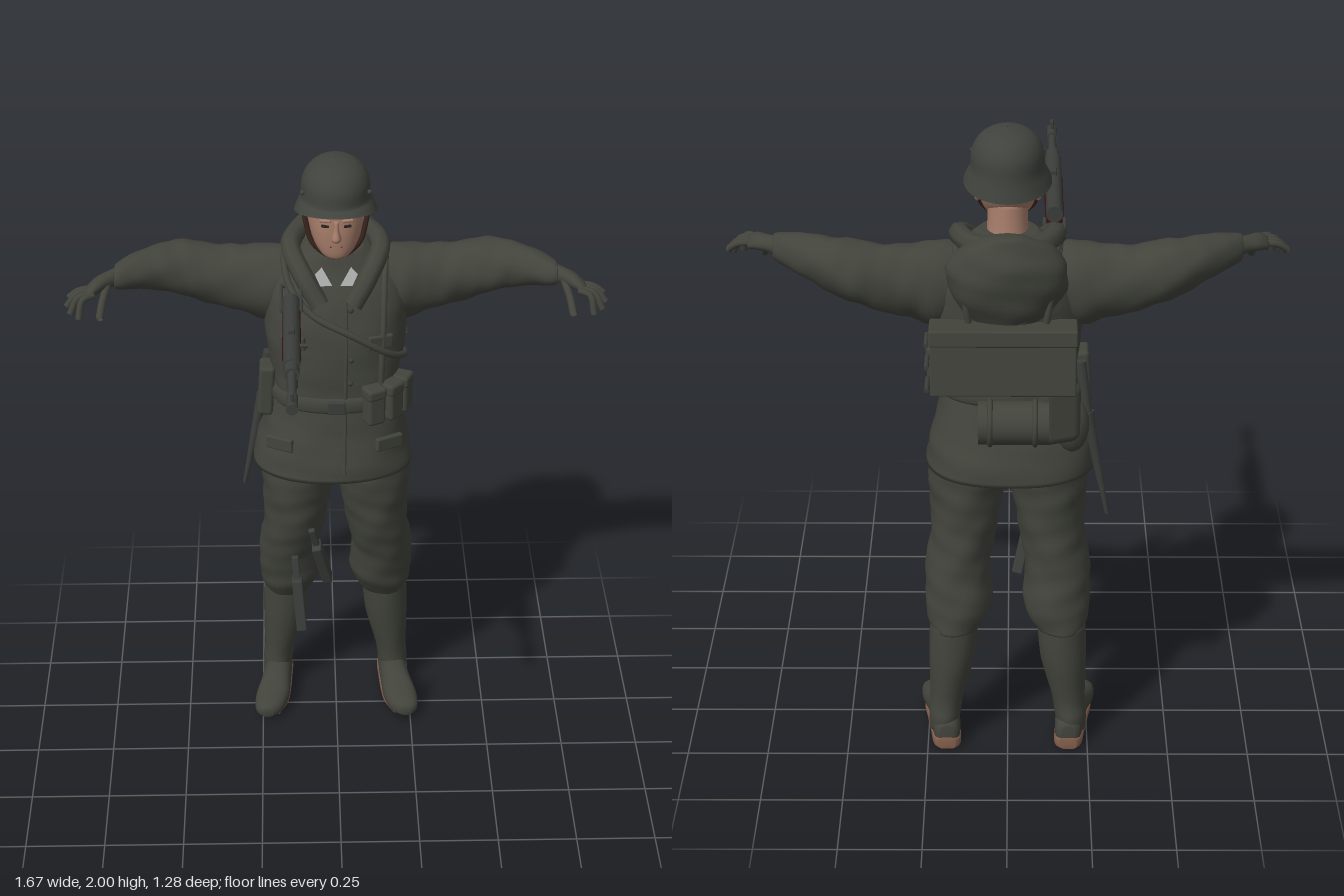
import * as THREE from 'three';
import { RoundedBoxGeometry } from 'three/addons/geometries/RoundedBoxGeometry.js';

const V = (x, y, z) => new THREE.Vector3(x, y, z);
const paint = (name, color, side = THREE.FrontSide) => {
  const m = new THREE.MeshStandardMaterial({ color, side });
  m.name = name;
  return m;
};
const spow = (v, e) => Math.sign(v) * Math.abs(v) ** (2 / e);

// Smooth skin through elliptical rings [x, y, z, ra, rb] stacked along one axis (increasing)
function loft(rings, axis, { seg = 28, sub = 4, e = 2, amp = 0, cap = true, bend } = {}) {
  const pos = [], idx = [], n = rings.length;
  const get = i => rings[Math.min(n - 1, Math.max(0, i))];
  const fine = [];
  for (let i = 0; i < n - 1; i++) for (let k = 0; k < sub + (i === n - 2 ? 1 : 0); k++) {
    const t = k / sub, [a, b, c, d] = [get(i - 1), get(i), get(i + 1), get(i + 2)];
    fine.push(b.map((_, j) => 0.5 * (2 * b[j] + (c[j] - a[j]) * t + (2 * a[j] - 5 * b[j] + 4 * c[j] - d[j]) * t * t
      + (3 * b[j] - a[j] - 3 * c[j] + d[j]) * t ** 3)));
  }
  const along = { x: 0, y: 1, z: 2 }[axis];
  fine.forEach(r => {
    const s = r[along];
    for (let i = 0; i < seg; i++) {
      const t = i / seg * Math.PI * 2;
      const f = 1 + amp * (Math.sin(3 * t + 44 * s) + Math.sin(5 * t - 31 * s) + Math.sin(2 * t + 83 * s)) / 2;
      const c = spow(Math.cos(t), e) * f, q = spow(Math.sin(t), e) * f;
      const p = axis === 'y' ? V(r[0] + r[3] * q, r[1], r[2] + r[4] * c)
        : axis === 'x' ? V(r[0], r[1] + r[3] * c, r[2] + r[4] * q)
          : V(r[0] + r[3] * c, r[1] + r[4] * q, r[2]);
      if (bend) bend(p, t);
      pos.push(p.x, p.y, p.z);
    }
  });
  const rows = fine.length;
  for (let j = 0; j < rows - 1; j++) for (let i = 0; i < seg; i++) {
    const a = j * seg + i, b = j * seg + (i + 1) % seg;
    idx.push(a, b, b + seg, a, b + seg, a + seg);
  }
  if (cap) [0, rows - 1].forEach((j, top) => {
    const c = pos.length / 3;
    pos.push(...fine[j].slice(0, 3));
    for (let i = 0; i < seg; i++) {
      const a = j * seg + i, b = j * seg + (i + 1) % seg;
      idx.push(...(top ? [c, a, b] : [c, b, a]));
    }
  });
  const g = new THREE.BufferGeometry();
  g.setAttribute('position', new THREE.Float32BufferAttribute(pos, 3));
  g.setIndex(idx);
  g.computeVertexNormals();
  return g;
}

// Mirror a geometry across x and keep its faces outward
function flip(geo) {
  const g = geo.clone().scale(-1, 1, 1), ix = g.index.array;
  for (let i = 0; i < ix.length; i += 3) [ix[i], ix[i + 1]] = [ix[i + 1], ix[i]];
  return g;
}
const tube = (pts, r, closed = false, n = 40) =>
  new THREE.TubeGeometry(new THREE.CatmullRomCurve3(pts, closed), n, r, 8, closed);
function rod(a, b, r1, r2 = r1, seg = 14) {
  const d = b.clone().sub(a), g = new THREE.CylinderGeometry(r2, r1, d.length(), seg);
  g.applyQuaternion(new THREE.Quaternion().setFromUnitVectors(V(0, 1, 0), d.normalize()));
  return g.translate((a.x + b.x) / 2, (a.y + b.y) / 2, (a.z + b.z) / 2);
}
const rbox = (w, h, d, r = 0.012) => new RoundedBoxGeometry(w, h, d, 2, r);

// Jacket rings, also used to lay belts and pouches on the body
const JACKET = [
  [-0.01, 0.955, -0.325, 0.256, 0.208], [-0.01, 1.02, -0.325, 0.246, 0.2], [-0.005, 1.1, -0.32, 0.222, 0.18],
  [0, 1.2, -0.312, 0.198, 0.158], [0, 1.26, -0.315, 0.2, 0.16], [0, 1.35, -0.328, 0.215, 0.172],
  [0, 1.45, -0.342, 0.225, 0.18], [0, 1.55, -0.357, 0.218, 0.168], [0, 1.62, -0.365, 0.185, 0.14],
  [0, 1.67, -0.355, 0.13, 0.11], [0, 1.7, -0.34, 0.085, 0.085]];
function onBody(y, t, off = 0) {
  let i = 0;
  while (i < JACKET.length - 2 && JACKET[i + 1][1] < y) i++;
  const a = JACKET[i], b = JACKET[i + 1], k = (y - a[1]) / (b[1] - a[1]);
  const [x, , z, rx, rz] = a.map((v, j) => v + (b[j] - v) * k);
  return V(x + (rx + off) * spow(Math.sin(t), 2.3), y, z + (rz + off) * spow(Math.cos(t), 2.3));
}

export function createModel() {
  const root = new THREE.Group();
  root.name = 'soldier';
  const cloth = paint('fieldGrey', 0x42443c, THREE.DoubleSide), steel = paint('helmetSteel', 0x40433d, THREE.DoubleSide);
  const skin = paint('skin', 0xa57c69), white = paint('collarWhite', 0xc4c6c6, THREE.DoubleSide);
  const leather = paint('darkBrownStrap', 0x35201a), metal = paint('gunMetal', 0x3b3e3a);
  const grip = paint('darkRedGrip', 0x421114), sole = paint('soleBrown', 0x86604d), dark = paint('eyeDark', 0x2a211d);
  const put = (name, geo, mat, pos, rot, parent = root) => {
    const m = new THREE.Mesh(geo, mat);
    m.name = name;
    if (pos) m.position.set(...pos);
    if (rot) m.rotation.set(...rot);
    parent.add(m);
    return m;
  };
  const pair = (name, geo, mat) => { put(name + 'Left', geo, mat); put(name + 'Right', flip(geo), mat); };

  // Jacket, sleeves and hood
  put('jacket', loft(JACKET, 'y', { seg: 48, e: 2.3, amp: 0.012 }), cloth);
  pair('sleeve', loft([[0.1, 1.57, -0.365, 0.09, 0.09], [0.2, 1.55, -0.375, 0.126, 0.1], [0.28, 1.558, -0.382, 0.112, 0.088],
    [0.36, 1.568, -0.387, 0.1, 0.086], [0.44, 1.588, -0.388, 0.094, 0.088], [0.5, 1.602, -0.377, 0.084, 0.085],
    [0.56, 1.615, -0.355, 0.07, 0.078], [0.62, 1.62, -0.32, 0.056, 0.066], [0.665, 1.62, -0.288, 0.045, 0.055],
    [0.685, 1.62, -0.275, 0.036, 0.044]], 'x', { amp: 0.03, sub: 5 }), cloth);
  put('hood', loft([[0, 1.46, -0.46, 0.09, 0.07], [0, 1.53, -0.46, 0.155, 0.105], [0, 1.6, -0.465, 0.175, 0.12],
    [0, 1.66, -0.47, 0.165, 0.12], [0, 1.71, -0.49, 0.12, 0.085], [0, 1.752, -0.53, 0.04, 0.03]], 'y', { amp: 0.03 }), cloth);
  put('hoodRoll', tube([V(0.05, 1.55, -0.2), V(0.1, 1.63, -0.24), V(0.14, 1.69, -0.34), V(0.1, 1.7, -0.45), V(0, 1.7, -0.5),
    V(-0.1, 1.7, -0.45), V(-0.14, 1.69, -0.34), V(-0.1, 1.63, -0.24), V(-0.05, 1.55, -0.2)], 0.032), cloth);
  put('collar', loft([[0, 1.64, -0.33, 0.1, 0.095], [0, 1.7, -0.335, 0.082, 0.085]], 'y',
    { cap: false, bend: (p, t) => { p.y -= 0.045 * Math.max(0, Math.cos(t)); } }), cloth);
  [-1, 1].forEach(s => {
    const tab = new THREE.Shape([[0.012, 1.615], [0.05, 1.615], [0.066, 1.655], [0.045, 1.68]].map(([x, y]) => new THREE.Vector2(s * x, y)));
    put('collarTab', new THREE.ShapeGeometry(tab), white, [0, 0, -0.206]);
  });
  put('buttonPlacket', tube([0.99, 1.1, 1.2, 1.3, 1.4, 1.5, 1.57].map(y => onBody(y, 0.1, 0.001)), 0.006), cloth);
  [1.3, 1.38, 1.46, 1.54].forEach(y => put('button', new THREE.SphereGeometry(0.009, 8, 6), metal, onBody(y, 0.16, 0.002).toArray()));
  [[1.07, 0.8, 0.1], [1.43, 0.6, 0.085]].forEach(([y, t, w]) => [-1, 1].forEach(s =>
    put('pocketFlap', rbox(w, 0.045, 0.02, 0.006), cloth, onBody(y, s * t).toArray(), [0, s * t * 0.75, -s * 0.08])));

  // Head with face and neck
  put('neck', loft([[0, 1.58, -0.335, 0.075, 0.08], [0, 1.7, -0.325, 0.06, 0.065], [0, 1.79, -0.31, 0.06, 0.07]], 'y'), skin);
  put('head', loft([[0, 1.704, -0.238, 0.022, 0.028], [0, 1.715, -0.245, 0.044, 0.046], [0, 1.745, -0.268, 0.067, 0.074],
    [0, 1.79, -0.288, 0.082, 0.096], [0, 1.84, -0.297, 0.088, 0.102], [0, 1.92, -0.3, 0.088, 0.1]], 'y',
    { e: 2.2, seg: 32 }), skin);
  put('nose', loft([[0, 1.772, -0.2, 0.014, 0.02], [0, 1.783, -0.196, 0.016, 0.027], [0, 1.81, -0.196, 0.009, 0.016],
    [0, 1.838, -0.198, 0.009, 0.01]], 'y', { seg: 12 }), skin);
  put('mouth', rbox(0.04, 0.007, 0.009, 0.003), leather, [0, 1.753, -0.199]);
  [-1, 1].forEach(s => {
    put('eye', rbox(0.024, 0.009, 0.008, 0.003), dark, [s * 0.034, 1.82, -0.201], [0, s * 0.25, 0]);
    put('brow', rbox(0.036, 0.009, 0.012, 0.004), skin, [s * 0.034, 1.839, -0.198], [0, s * 0.25, 0]);
    put('ear', new THREE.SphereGeometry(1, 12, 8).scale(0.012, 0.032, 0.02), skin, [s * 0.088, 1.81, -0.31]);
  });

  // Helmet with a brim raised at the front and low at the neck
  put('helmet', loft([[0, 1.835, -0.297, 0.128, 0.155], [0, 1.86, -0.3, 0.118, 0.145], [0, 1.885, -0.304, 0.108, 0.136],
    [0, 1.93, -0.305, 0.104, 0.131], [0, 1.965, -0.306, 0.087, 0.11], [0, 1.988, -0.307, 0.057, 0.074], [0, 1.998, -0.307, 0.02, 0.026],
    [0, 2, -0.307, 0.002, 0.002]], 'y', {
    seg: 40, cap: false,
    bend: (p, t) => { if (p.y < 1.885) p.y += (1.885 - p.y) / 0.05 * (Math.cos(t) > 0 ? 0.035 : 0.016) * Math.cos(t); }
  }), steel);
  [-1, 1].forEach(s => put('helmetRivet', new THREE.SphereGeometry(0.008, 8, 6), steel, [s * 0.102, 1.91, -0.25]));
  put('chinStrap', tube([V(0.1, 1.85, -0.3), V(0.092, 1.8, -0.275), V(0.07, 1.74, -0.25), V(0, 1.7, -0.235),
    V(-0.07, 1.74, -0.25), V(-0.092, 1.8, -0.275), V(-0.1, 1.85, -0.3)], 0.008), leather);

  // Gloved hands
  pair('palm', loft([[0.665, 1.62, -0.287, 0.032, 0.036], [0.7, 1.622, -0.258, 0.025, 0.036], [0.74, 1.616, -0.222, 0.022, 0.046],
    [0.768, 1.604, -0.198, 0.015, 0.042]], 'x', { seg: 16 }), cloth);
  [[-0.222, 0.825, 1.585, -0.205], [-0.202, 0.83, 1.568, -0.178], [-0.182, 0.818, 1.556, -0.15], [-0.168, 0.79, 1.55, -0.125]]
    .forEach(([z, x, y, tz]) => pair('finger', tube([V(0.745, 1.61, z), V((0.765 + x) / 2, 1.604, (z + tz) / 2), V(x, y, tz)], 0.0105, false, 8), cloth));
  pair('thumb', tube([V(0.705, 1.615, -0.235), V(0.72, 1.58, -0.18), V(0.728, 1.545, -0.135)], 0.012, false, 8), cloth);

  // Trousers, boots and soles
  pair('trouserLeg', loft([[0.163, 0.41, -0.387, 0.076, 0.088], [0.156, 0.45, -0.375, 0.094, 0.1], [0.15, 0.5, -0.365, 0.103, 0.108],
    [0.153, 0.6, -0.345, 0.1, 0.115], [0.138, 0.7, -0.325, 0.1, 0.13], [0.128, 0.8, -0.315, 0.108, 0.138],
    [0.122, 0.9, -0.31, 0.12, 0.148], [0.118, 0.99, -0.31, 0.12, 0.15]], 'y', { amp: 0.025, sub: 6 }), cloth);
  pair('bootShaft', loft([[0.2, 0.05, -0.4, 0.045, 0.065], [0.197, 0.1, -0.4, 0.05, 0.07], [0.19, 0.16, -0.395, 0.052, 0.067],
    [0.173, 0.3, -0.392, 0.071, 0.083], [0.165, 0.43, -0.387, 0.075, 0.087]], 'y', { amp: 0.008 }), cloth);
  pair('bootFoot', loft([[0.19, 0.05, -0.474, 0.022, 0.034], [0.19, 0.053, -0.455, 0.04, 0.048], [0.195, 0.06, -0.39, 0.045, 0.056],
    [0.205, 0.056, -0.3, 0.05, 0.053], [0.218, 0.043, -0.23, 0.056, 0.04], [0.23, 0.036, -0.17, 0.045, 0.03],
    [0.235, 0.032, -0.146, 0.018, 0.016]], 'z', { e: 2.3 }), cloth);
  pair('bootSole', loft([[0.19, 0.022, -0.476, 0.026, 0.02], [0.19, 0.022, -0.455, 0.043, 0.022], [0.196, 0.022, -0.39, 0.047, 0.022],
    [0.206, 0.018, -0.3, 0.051, 0.018], [0.216, 0.01, -0.24, 0.05, 0.01], [0.23, 0.008, -0.18, 0.036, 0.007]], 'z', { e: 4 }), sole);

  // Belt, straps and pouches
  put('belt', loft([1.195, 1.205, 1.235, 1.245].map((y, i) => {
    const o = i % 3 ? 0.012 : 0.004;
    return [0, y, -0.313, 0.2 + o, 0.16 + o];
  }), 'y', { seg: 48, e: 2.3, sub: 1 }), cloth);
  put('buckle', rbox(0.055, 0.045, 0.012, 0.005), metal, onBody(1.22, 0, 0.015).toArray());
  [0.5, 0.86, 1.22].forEach(t => {
    const p = onBody(1.225, t, 0.022);
    put('ammoPouch', rbox(0.062, 0.125, 0.055), cloth, p.toArray(), [0, t * 0.95, 0]);
    put('pouchFlap', rbox(0.066, 0.04, 0.061), cloth, [p.x, 1.27, p.z], [0, t * 0.95, 0]);
  });
  put('sidePouch', rbox(0.05, 0.17, 0.085), cloth, [-0.222, 1.22, -0.29], [0, 0, -0.06]);
  put('bayonetHandle', rod(V(-0.235, 1.14, -0.39), V(-0.215, 1.3, -0.38), 0.016), metal);
  put('bayonetSheath', rod(V(-0.3, 0.8, -0.395), V(-0.235, 1.14, -0.39), 0.006, 0.02), metal);
  put('crossStrap', tube([[1.6, -0.75], [1.53, -0.3], [1.46, 0.2], [1.38, 0.8], [1.33, 1.5], [1.32, 2.3], [1.42, 2.9], [1.55, 3.6]]
    .map(([y, t]) => onBody(y, t, 0.008)).concat([V(-0.14, 1.67, -0.42), V(-0.16, 1.665, -0.32)]), 0.011, true, 70), cloth);
  [-1, 1].forEach(s => put('shoulderStrap', tube([[1.24, 0.7], [1.36, 0.65], [1.48, 0.65], [1.58, 0.75]]
    .map(([y, t]) => onBody(y, s * t, 0.004)).concat([V(s * 0.155, 1.67, -0.34), V(s * 0.13, 1.6, -0.51), V(s * 0.1, 1.4, -0.515)]), 0.01), cloth));

  // Back load: case, frame rungs, blanket roll, bag and canteen
  put('backCase', rbox(0.42, 0.2, 0.105, 0.006), cloth, [0.012, 1.385, -0.545], [0.06, 0, 0]);
  put('caseLid', rbox(0.426, 0.05, 0.111, 0.006), cloth, [0.012, 1.462, -0.542], [0.06, 0, 0]);
  [1.3, 1.37, 1.44].forEach(y => put('caseRung', rod(V(0.232, y, -0.585), V(0.232, y, -0.5), 0.007), metal));
  put('blanketRoll', rod(V(-0.12, 1.19, -0.568), V(0.085, 1.19, -0.568), 0.064, 0.064, 24), cloth);
  [-0.08, 0.05].forEach(x => put('rollStrap', new THREE.TorusGeometry(0.064, 0.008, 8, 24), cloth, [x, 1.19, -0.568], [0, Math.PI / 2, 0]));
  put('breadBag', rbox(0.13, 0.19, 0.09, 0.03), cloth, [-0.145, 1.2, -0.51], [0, 0.35, 0]);
  put('canteen', new THREE.SphereGeometry(1, 16, 12).scale(0.05, 0.085, 0.045), cloth, [-0.19, 1.14, -0.48]);

  // Submachine gun pointing forward
  const gun = new THREE.Group();
  gun.name = 'gun';
  gun.position.x = -0.14;
  root.add(gun);
  const gp = (name, geo, mat, pos, rot) => put(name, geo, mat, pos, rot, gun);
  gp('barrel', rod(V(0, 1.652, 0.4), V(0, 1.658, 0.63), 0.014, 0.011), metal);
  gp('muzzle', rod(V(0, 1.657, 0.565), V(0, 1.658, 0.642), 0.017), metal);
  gp('frontSight', rbox(0.012, 0.04, 0.025, 0.004), metal, [0, 1.68, 0.612]);
  gp('barrelNut', rod(V(0, 1.651, 0.36), V(0, 1.652, 0.43), 0.022), metal);
  gp('receiver', rod(V(0, 1.638, -0.065), V(0, 1.651, 0.38), 0.026), metal);
  gp('rearSight', rbox(0.02, 0.028, 0.035, 0.004), metal, [0, 1.672, 0.2]);
  gp('magazineHousing', rbox(0.034, 0.085, 0.055, 0.006), metal, [0, 1.607, 0.33]);
  gp('boltHandle', rod(V(0.015, 1.65, 0.25), V(0.048, 1.652, 0.25), 0.007), metal);
  gp('handguard', rbox(0.056, 0.052, 0.29, 0.014), grip, [0, 1.617, 0.125], [-0.03, 0, 0]);
  gp('gripFrame', rbox(0.042, 0.045, 0.1, 0.01), grip, [0, 1.605, -0.01]);
  gp('pistolGrip', rbox(0.036, 0.13, 0.042, 0.012), grip, [0, 1.535, -0.035], [0.48, 0, 0]);
  gp('triggerGuard', new THREE.TorusGeometry(0.023, 0.004, 6, 16), metal, [0, 1.575, 0.03], [0, Math.PI / 2, 0]);
  [-0.03, 0.03].forEach(x => gp('stockRod', rod(V(x, 1.615, -0.04), V(x, 1.597, -0.25), 0.006), metal));
  gp('stockPlate', rod(V(-0.03, 1.597, -0.25), V(0.03, 1.597, -0.25), 0.008), metal);

  // Loose magazines, each a wide body with a narrow top
  [[-0.127, 0.815, 0.293, 0.11, 0.08], [-0.055, 0.625, -0.215, -0.3, 0.22]].forEach(([x, y, z, rx, rz], i) => {
    const mag = new THREE.Group();
    mag.name = 'magazine';
    mag.position.set(x, y, z);
    mag.rotation.set(i ? 0.3 : -rx, 0, rz);
    root.add(mag);
    put('magazineBody', rbox(0.032, 0.175, 0.05, 0.005), metal, [0, -0.035, 0], null, mag);
    put('magazineTop', rbox(0.022, 0.09, 0.018, 0.004), metal, [0, 0.08, -0.004], null, mag);
  });
  return root;
}
